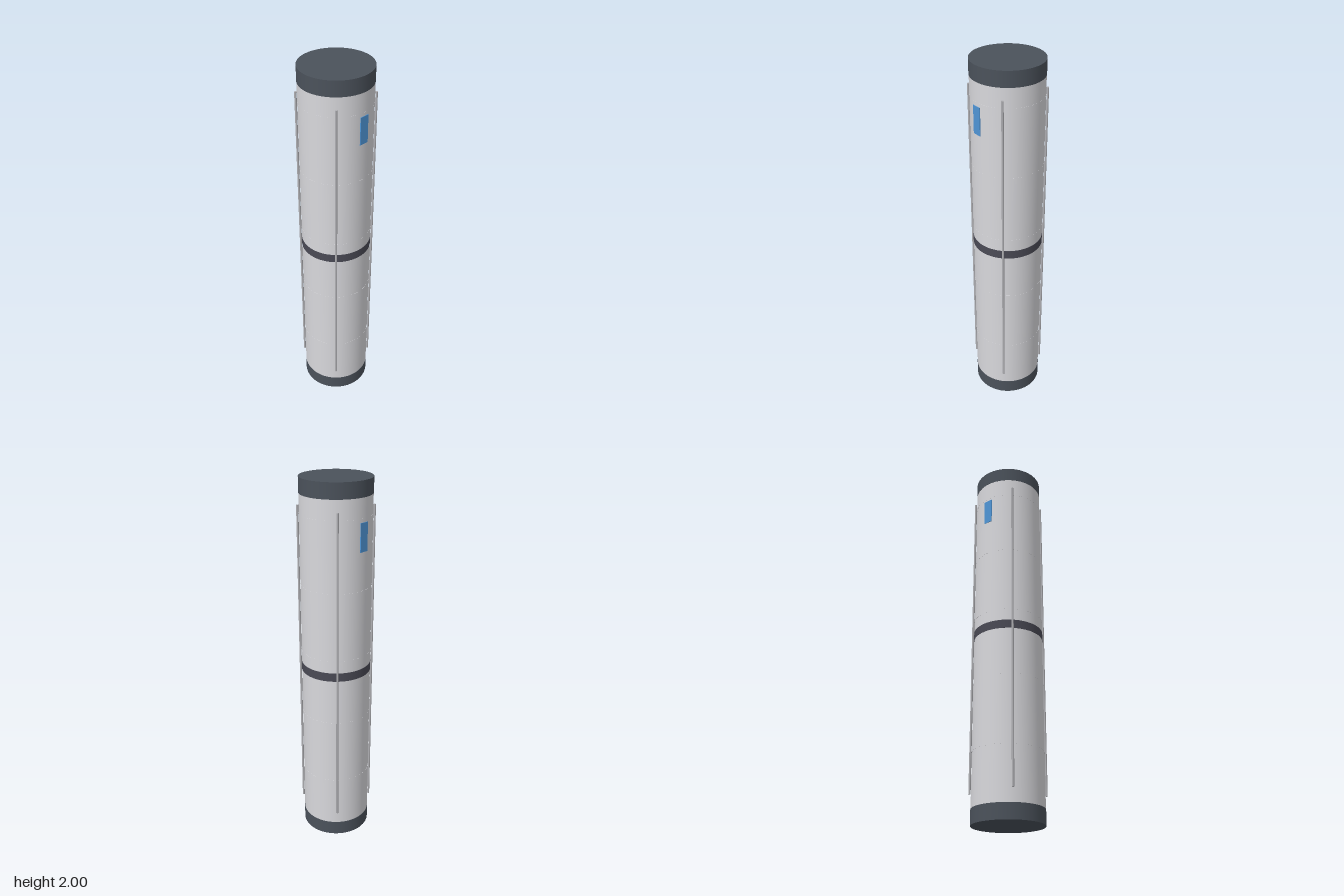
import * as THREE from 'three';

const R = 0.184;

export function createModel() {
  const model = new THREE.Group();
  model.name = 'cylindricalModule';

  const mat = (name, color) => {
    const m = new THREE.MeshStandardMaterial({ color });
    m.name = name;
    return m;
  };
  const shell = mat('shellGrey', 0xd8d8dc);
  const cap = mat('capSlate', 0x4b525b);
  const band = mat('bandCharcoal', 0x4a4a55);
  const rail = mat('railGrey', 0xb0b0b4);
  const glass = mat('windowBlue', 0x4f95d6);

  const add = (name, geometry, material, x, y, z) => {
    const mesh = new THREE.Mesh(geometry, material);
    mesh.name = name;
    mesh.position.set(x, y, z);
    model.add(mesh);
    return mesh;
  };
  // upright cylinder spanning y0..y1
  const drum = (name, r, y0, y1, material, x = 0, z = 0, sides = 64, open = false) =>
    add(name, new THREE.CylinderGeometry(r, r, y1 - y0, sides, 1, open), material, x, (y0 + y1) / 2, z);

  // Main hull between the end caps
  drum('hull', R, 0.08, 1.92, shell, 0, 0, 64, true);
  drum('bottomCap', R + 0.001, 0, 0.08, cap);
  drum('topCap', R + 0.001, 1.92, 2, cap);
  drum('middleBand', R + 0.001, 0.978, 1.025, band);

  // Fine seams, barely proud of the hull
  for (let i = 1; i <= 5; i++) {
    const y = (i * 2) / 5.5;
    drum('hullSeam', R + 0.0005, y - 0.002, y + 0.002, shell);
  }

  // Four long rails on the diagonals, and a window on each side
  for (const sx of [-1, 1]) {
    for (const sz of [-1, 1]) {
      drum('rail', 0.006, 0.15, 1.86, rail, sx * 0.135, sz * 0.135, 12);
    }
    add('window', new THREE.BoxGeometry(0.008, 0.145, 0.05), glass, sx * 0.1825, 1.728, 0);
  }

  return model;
}
